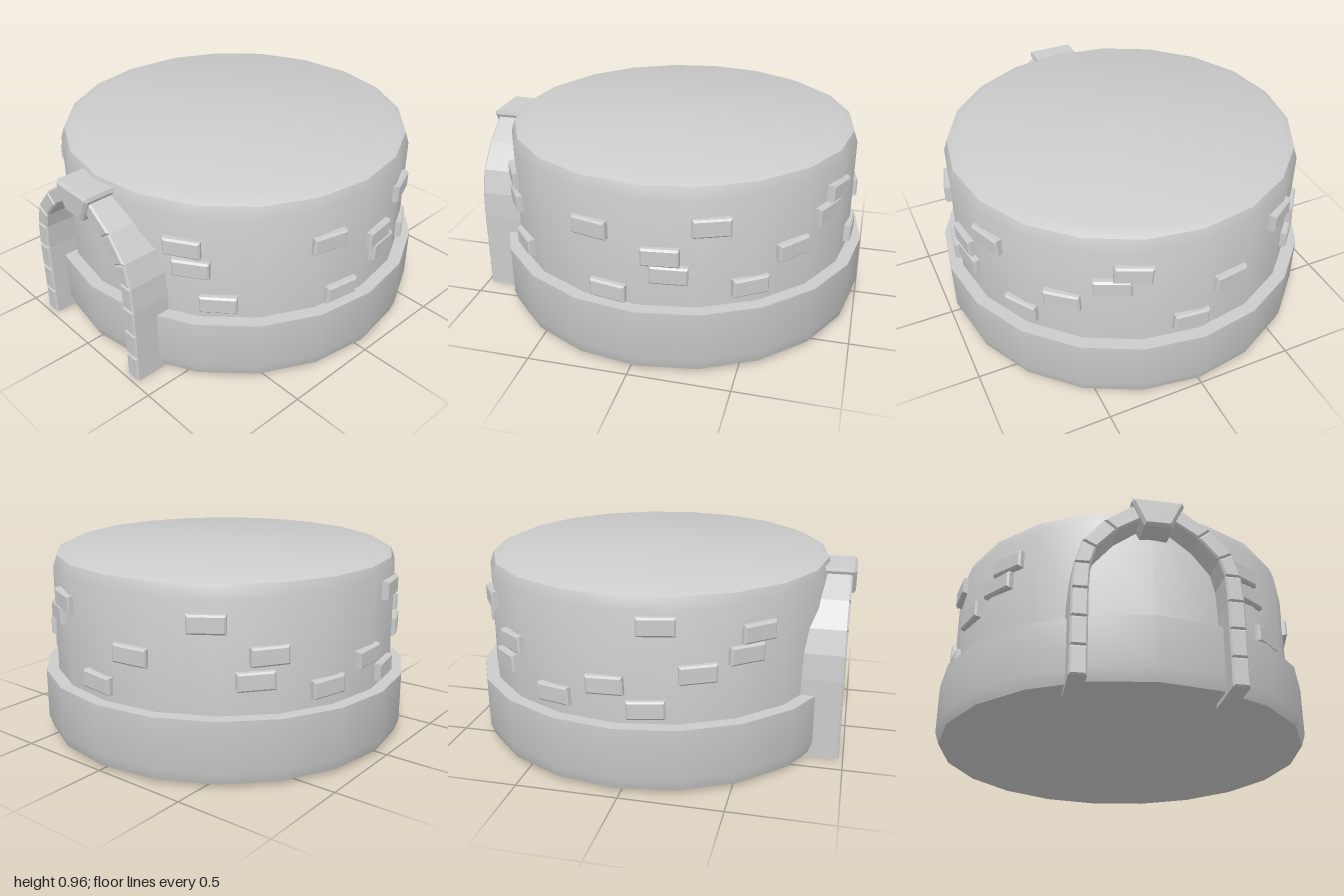
import * as THREE from 'three';
import { toCreasedNormals } from 'three/addons/utils/BufferGeometryUtils.js';

const material = new THREE.MeshStandardMaterial({ color: 0xcccccc });
const CENTRE_Z = -0.03;

// A chamfered slab with the given outline, from z = back to z = front
function slab(points, back, front, bevel) {
  const shape = new THREE.Shape(points.map(([x, y]) => new THREE.Vector2(x, y)));
  const geometry = new THREE.ExtrudeGeometry(shape, {
    depth: front - back - 2 * bevel,
    bevelEnabled: true,
    bevelThickness: bevel,
    bevelSize: bevel,
    bevelOffset: -bevel,
    bevelSegments: 1,
  });
  return geometry.translate(0, 0, back + bevel);
}

function add(parent, geometry, name) {
  const mesh = new THREE.Mesh(geometry, material);
  mesh.name = name;
  parent.add(mesh);
  return mesh;
}

// Round body: wide plinth, wall and softened top rim, in 20 sides
function buildTower() {
  const profile = [
    [0, 0.02], [0.95, 0.02], [0.97, 0.08], [0.97, 0.335], [0.905, 0.335],
    [0.905, 0.88], [0.885, 0.94], [0.83, 0.965], [0, 0.965],
  ].map(([r, y]) => new THREE.Vector2(r, y));
  const geometry = toCreasedNormals(new THREE.LatheGeometry(profile, 20), 0.6);
  return geometry.translate(0, 0, CENTRE_Z);
}

// Doorway arch: a row of wedge stones on each side and a keystone
function buildArch() {
  const arch = new THREE.Group();
  arch.name = 'doorArch';
  const outer = [[0.395, 0], [0.395, 0.14], [0.395, 0.28], [0.395, 0.42],
    [0.385, 0.55], [0.35, 0.67], [0.25, 0.79], [0.09, 0.905]];
  const inner = [[0.315, 0], [0.315, 0.14], [0.315, 0.28], [0.315, 0.42],
    [0.308, 0.55], [0.283, 0.635], [0.19, 0.74], [0.06, 0.825]];
  for (const side of [1, -1]) {
    for (let i = 0; i < outer.length - 1; i++) {
      const quad = [inner[i], outer[i], outer[i + 1], inner[i + 1]]
        .map(([x, y]) => [side * x, y]);
      add(arch, slab(quad, 0.71, 0.98, 0.009), 'archStone');
    }
  }
  const key = [[-0.065, 0.775], [0.065, 0.775], [0.125, 0.9], [0.12, 0.92],
    [-0.12, 0.92], [-0.125, 0.9]];
  add(arch, slab(key, 0.71, 1, 0.014), 'keystone');
  return arch;
}

// Scattered wall bricks: [angle from the front in degrees, height, tilt]
const BRICKS = [
  [31.5, 0.72, 0], [34, 0.61, 0], [42, 0.42, 0], [75.5, 0.7, 0],
  [81, 0.39, -0.02], [97, 0.6, 0], [99.5, 0.51, -0.04], [111.7, 0.75, 0],
  [123.7, 0.425, 0], [138, 0.565, 0.04], [159, 0.76, -0.06], [153, 0.68, 0.04],
  [177, 0.42, -0.05], [190, 0.59, -0.03], [213, 0.765, 0], [231, 0.615, 0.03],
  [227, 0.5, 0.03], [250, 0.43, 0.05], [267, 0.52, 0.05], [279, 0.41, 0.03],
  [282, 0.81, 0], [294, 0.58, 0.02], [309, 0.65, 0], [313, 0.745, 0],
];

function buildBricks() {
  const bricks = new THREE.Group();
  bricks.name = 'wallBricks';
  bricks.position.z = CENTRE_Z;
  const w = 0.09, h = 0.045;
  const geometry = slab([[-w, -h], [w, -h], [w, h], [-w, h]], 0.875, 0.925, 0.009);
  for (const [degrees, y, tilt] of BRICKS) {
    const brick = add(bricks, geometry, 'brick');
    brick.rotation.set(0, THREE.MathUtils.degToRad(degrees), tilt);
    brick.position.y = y;
  }
  return bricks;
}

export function createModel() {
  const model = new THREE.Group();
  model.name = 'roundTowerBase';
  add(model, buildTower(), 'towerBody');
  model.add(buildArch(), buildBricks());
  return model;
}
